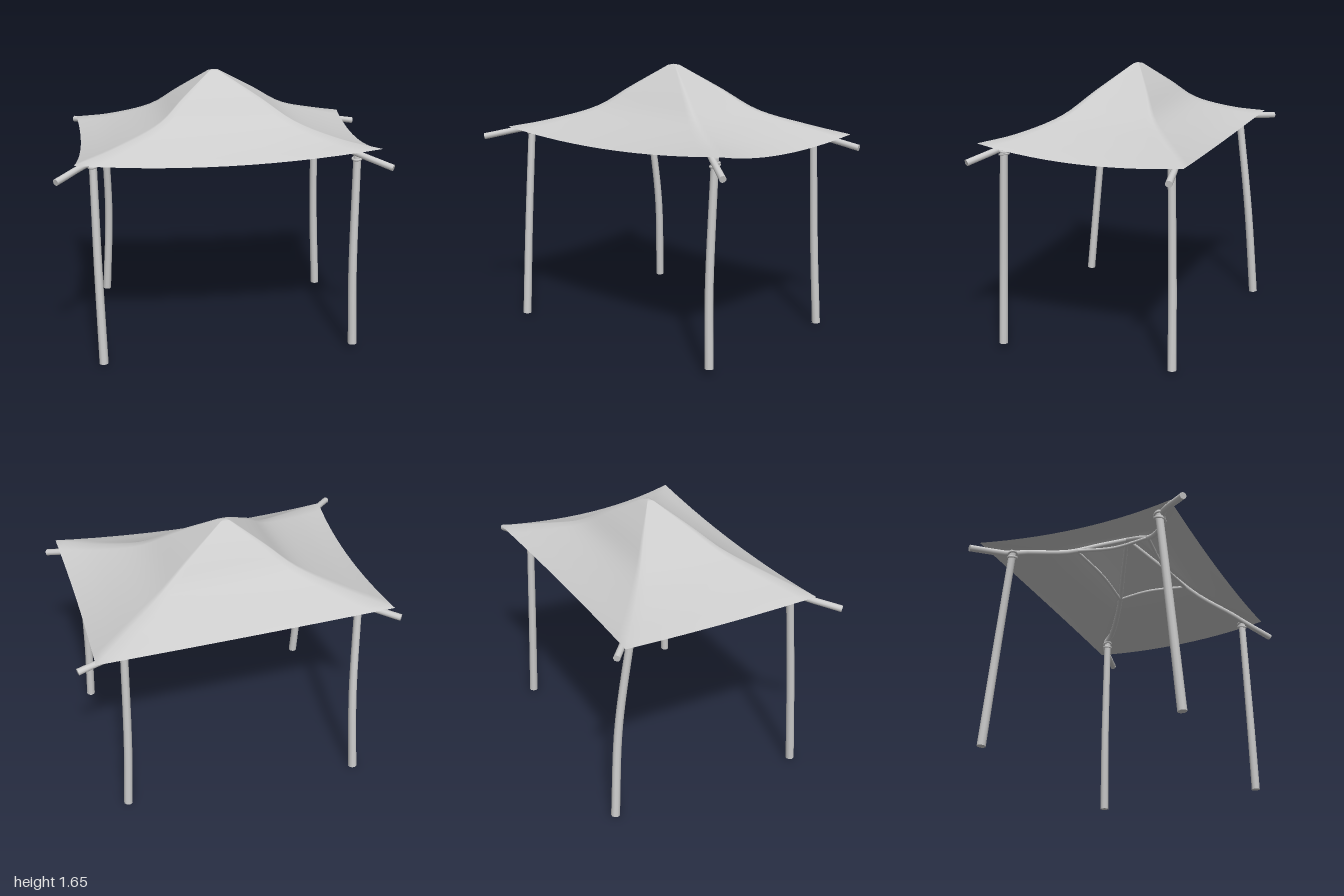
import * as THREE from 'three';

const V = (x, y, z) => new THREE.Vector3(x, y, z);
const grey = new THREE.MeshStandardMaterial({ color: 0xcccccc, side: THREE.DoubleSide });
grey.name = 'pale grey';

// Four corners in order round the roof: ridge points, rafter tip, leg path
const apex = V(-0.03, 1.655, -0.05);
const corners = [
  { name: 'frontRight', ridge: [V(-0.38, 1.395, 0.27), V(-0.66, 1.295, 0.455), V(-0.885, 1.24, 0.585)],
    tip: V(-0.985, 1.18, 0.7), leg: [V(-0.755, 0.015, 0.585), V(-0.77, 0.6, 0.535), V(-0.78, 1.25, 0.475)] },
  { name: 'frontLeft', ridge: [V(0.43, 1.385, 0.26), V(0.68, 1.31, 0.435), V(0.89, 1.285, 0.58)],
    tip: V(0.945, 1.18, 0.62), leg: [V(0.77, 0.035, 0.515), V(0.757, 0.5, 0.505), V(0.765, 1.25, 0.475)] },
  { name: 'backLeft', ridge: [V(0.43, 1.39, -0.31), V(0.68, 1.305, -0.49), V(0.89, 1.245, -0.65)],
    tip: V(0.985, 1.18, -0.6), leg: [V(0.75, 0.02, -0.55), V(0.725, 0.5, -0.54), V(0.705, 1.25, -0.52)] },
  { name: 'backRight', ridge: [V(-0.4, 1.4, -0.3), V(-0.66, 1.3, -0.48), V(-0.885, 1.245, -0.645)],
    tip: V(-0.9, 1.215, -0.705), leg: [V(-0.72, 0.005, -0.645), V(-0.692, 0.6, -0.6), V(-0.71, 1.25, -0.515)] },
];
// Middle of each hem, from corner i to corner i + 1
const hemMids = [V(0, 1.212, 0.588), V(0.87, 1.212, 0), V(0, 1.205, -0.605), V(-0.853, 1.21, 0)];

// Tapered bent pole with closed ends
function pole(name, points, r0, r1, sides = 10) {
  const group = new THREE.Group();
  group.name = name;
  const curve = new THREE.CatmullRomCurve3(points);
  const steps = 16;
  const geo = new THREE.TubeGeometry(curve, steps, 1, sides);
  const pos = geo.attributes.position, p = V(0, 0, 0);
  for (let i = 0; i <= steps; i++) {
    const c = curve.getPointAt(i / steps), r = r0 + (r1 - r0) * i / steps;
    for (let j = 0; j <= sides; j++) {
      const k = i * (sides + 1) + j;
      p.fromBufferAttribute(pos, k).sub(c).multiplyScalar(r).add(c);
      pos.setXYZ(k, p.x, p.y, p.z);
    }
  }
  const shaft = new THREE.Mesh(geo, grey);
  shaft.name = name + 'Shaft';
  group.add(shaft);
  for (const [t, r, s] of [[0, r0, -1], [1, r1, 1]]) {
    const cap = new THREE.Mesh(new THREE.CircleGeometry(r, sides), grey);
    cap.name = name + 'End';
    cap.position.copy(curve.getPointAt(t));
    cap.quaternion.setFromUnitVectors(V(0, 0, 1), curve.getTangentAt(t).multiplyScalar(s));
    group.add(cap);
  }
  return group;
}

// Cloth: rings from apex to hem, stretched between four ridges
function canopy() {
  const rows = 18, cols = 14, around = 4 * cols;
  const ridges = corners.map(({ ridge }) => {
    const start = apex.clone().lerp(ridge[0], 0.07).setY(1.65);
    const half = start.clone().lerp(ridge[0], 0.55);
    half.y += 0.003;
    return new THREE.CatmullRomCurve3([start, half, ...ridge]);
  });
  const verts = [apex.x, apex.y, apex.z], index = [];
  for (let i = 0; i <= rows; i++) {
    const t = i / rows;
    for (let s = 0; s < 4; s++) {
      const n = (s + 1) % 4;
      const a = ridges[s].getPointAt(t), b = ridges[n].getPointAt(t);
      const sag = hemMids[s].clone()
        .sub(corners[s].ridge[2].clone().add(corners[n].ridge[2]).multiplyScalar(0.5));
      for (let j = 0; j < cols; j++) {
        const u = j / cols;
        const p = a.clone().lerp(b, u).addScaledVector(sag, 4 * u * (1 - u) * t ** 3);
        verts.push(p.x, p.y, p.z);
      }
    }
  }
  for (let j = 0; j < around; j++) {
    const k = (j + 1) % around;
    index.push(0, 1 + j, 1 + k);
    for (let i = 0; i < rows; i++) {
      const a = 1 + i * around, b = a + around;
      index.push(a + j, b + j, b + k, a + j, b + k, a + k);
    }
  }
  const geo = new THREE.BufferGeometry();
  geo.setAttribute('position', new THREE.Float32BufferAttribute(verts, 3));
  geo.setIndex(index);
  geo.computeVertexNormals();
  const mesh = new THREE.Mesh(geo, grey);
  mesh.name = 'canopy';
  return mesh;
}

export function createModel() {
  const model = new THREE.Group();
  model.name = 'shelter';
  model.add(canopy());

  const braceEnds = [];
  for (const { name, ridge, tip, leg } of corners) {
    model.add(pole(name + 'Leg', leg, 0.027, 0.023));

    // Rafter runs just under the ridge and out past the leg
    const under = (p, d) => p.clone().setY(p.y - d);
    const top = leg[2];
    const inner = under(apex.clone().lerp(ridge[0], 0.5), 0.05);
    model.add(pole(name + 'Rafter',
      [tip, V(top.x, 1.237, top.z * 1.04), under(ridge[1], 0.042), under(ridge[0], 0.042), inner, under(apex, 0.06)],
      0.02, 0.014));
    braceEnds.push(under(apex.clone().lerp(ridge[0], 0.85), 0.05));

    // Rope lashing where leg and rafter cross
    for (const [y, tilt] of [[1.205, 0.15], [1.228, -0.2]]) {
      const rope = new THREE.Mesh(new THREE.TorusGeometry(0.027, 0.007, 6, 16), grey);
      rope.name = name + 'Lashing';
      rope.position.set(top.x, y, top.z);
      rope.rotation.set(Math.PI / 2 + tilt, tilt, 0);
      model.add(rope);
    }
  }

  // Thin curved braces tie the rafters together below the peak
  braceEnds.forEach((a, i) => {
    const b = braceEnds[(i + 1) % 4];
    const mid = a.clone().lerp(b, 0.5).lerp(apex, 0.12);
    mid.y = (a.y + b.y) / 2 - 0.005;
    model.add(pole('brace', [a, mid, b], 0.012, 0.01, 8));
  });
  return model;
}
